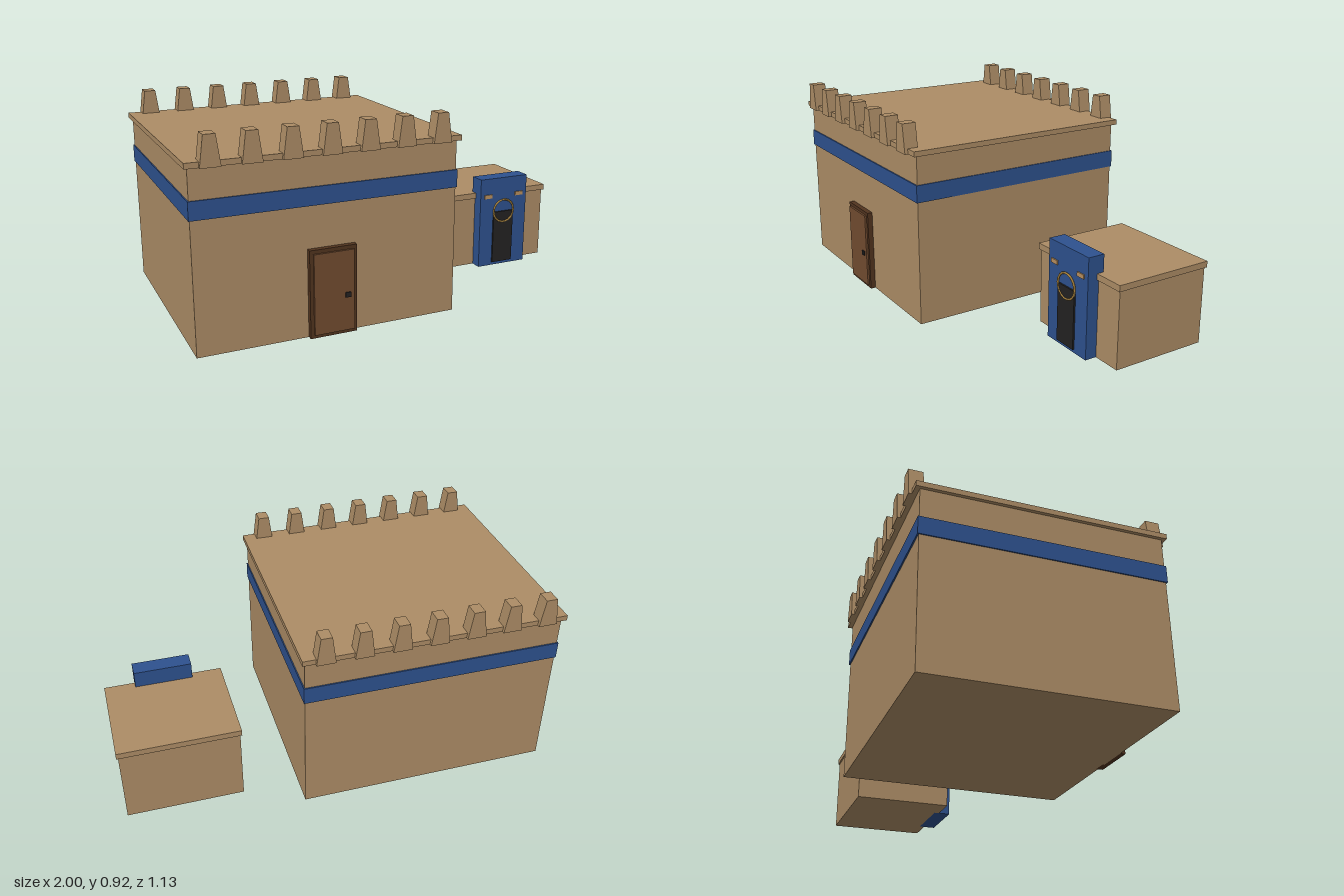
import * as THREE from 'three';

const mat = (name, color) => {
  const m = new THREE.MeshStandardMaterial({ color });
  m.name = name;
  return m;
};

export function createModel() {
  const sandstone = mat('sandstone', 0xad8d66);
  const blue = mat('blue paint', 0x2e528f);
  const doorWood = mat('door wood', 0x724c30);
  const darkWood = mat('dark wood', 0x52341f);
  const black = mat('black', 0x232222);
  const gold = mat('gold', 0xa8833f);
  const ochre = mat('ochre', 0xbb9160);

  const model = new THREE.Group();
  model.name = 'adobeBuildings';

  const group = (name) => {
    const g = new THREE.Group();
    g.name = name;
    model.add(g);
    return g;
  };

  // Box given by its minimum and maximum on each axis
  const box = (parent, name, material, [x0, x1], [y0, y1], [z0, z1]) => {
    const mesh = new THREE.Mesh(new THREE.BoxGeometry(x1 - x0, y1 - y0, z1 - z0), material);
    mesh.position.set((x0 + x1) / 2, (y0 + y1) / 2, (z0 + z1) / 2);
    mesh.name = name;
    parent.add(mesh);
    return mesh;
  };

  // Main hall: walls, painted band and roof slab
  const hall = group('mainHall');
  box(hall, 'walls', sandstone, [-0.985, 0.189], [0, 0.79], [-0.531, 0.529]);
  box(hall, 'paintedBand', blue, [-0.99, 0.194], [0.577, 0.656], [-0.537, 0.535]);
  box(hall, 'roofSlab', sandstone, [-1, 0.204], [0.787, 0.811], [-0.551, 0.547]);

  // Battlements: blocks that taper sideways, in a row along front and back
  const profile = new THREE.Shape([
    new THREE.Vector2(-0.043, 0), new THREE.Vector2(0.043, 0),
    new THREE.Vector2(0.025, 0.131), new THREE.Vector2(-0.025, 0.131),
  ]);
  const merlonGeometry = new THREE.ExtrudeGeometry(profile, { depth: 0.064, bevelEnabled: false });
  const battlements = group('battlements');
  for (const z of [0.498, -0.565]) {
    for (let i = -3; i <= 3; i++) {
      const merlon = new THREE.Mesh(merlonGeometry, sandstone);
      merlon.position.set(-0.398 + i * 0.1675, 0.787, z);
      merlon.name = 'merlon';
      battlements.add(merlon);
    }
  }

  // Wooden front door
  const door = group('woodenDoor');
  box(door, 'doorFrame', darkWood, [-0.504, -0.292], [0, 0.392], [0.52, 0.553]);
  box(door, 'doorPanel', doorWood, [-0.488, -0.307], [0.016, 0.375], [0.54, 0.562]);
  box(door, 'doorKnob', black, [-0.349, -0.325], [0.166, 0.188], [0.555, 0.568]);

  // Side house: walls and roof slab
  const house = group('sideHouse');
  box(house, 'walls', sandstone, [0.45, 0.988], [0, 0.355], [-0.401, 0.057]);
  box(house, 'roofSlab', sandstone, [0.443, 0.996], [0.352, 0.38], [-0.408, 0.066]);

  // Blue portal with dark doorway, ring and two small plaques
  const portal = group('portal');
  box(portal, 'portalBlock', blue, [0.585, 0.854], [0, 0.459], [0.033, 0.112]);
  box(portal, 'doorway', black, [0.661, 0.775], [0.016, 0.284], [0.105, 0.12]);
  const ring = new THREE.Mesh(new THREE.TorusGeometry(0.058, 0.005, 6, 18), gold);
  ring.position.set(0.718, 0.287, 0.119);
  ring.name = 'ring';
  portal.add(ring);
  for (const side of [-1, 1]) {
    const cx = 0.718 + side * 0.09;
    box(portal, 'plaque', ochre, [cx - 0.022, cx + 0.022], [0.358, 0.377], [0.109, 0.118]);
  }

  return model;
}
